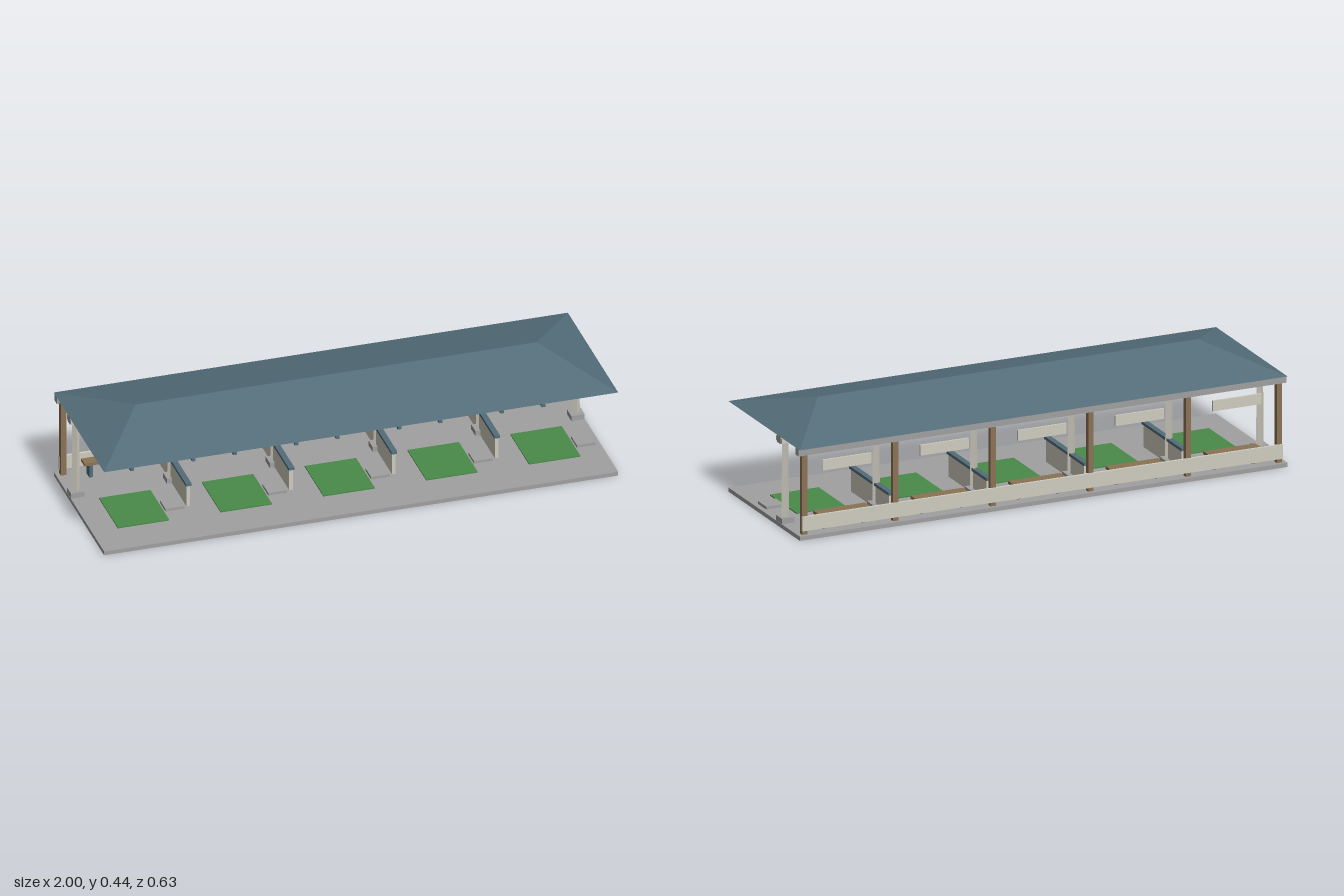
import * as THREE from 'three';

const mat = (color) => new THREE.MeshStandardMaterial({ color, flatShading: true });

export function createModel() {
  const group = new THREE.Group();
  const concrete = mat(0xa0a0a0), plaster = mat(0xcfccbf), wood = mat(0x8b7355);
  const slate = mat(0x546e7a), turf = mat(0x4a8a4a);

  const add = (name, geometry, material) => {
    const mesh = new THREE.Mesh(geometry, material);
    mesh.name = name;
    group.add(mesh);
    return mesh;
  };
  // Box given by its limits on each axis
  const box = (name, material, [x0, x1], [y0, y1], [z0, z1]) => {
    const g = new THREE.BoxGeometry(x1 - x0, y1 - y0, z1 - z0);
    add(name, g, material).position.set((x0 + x1) / 2, (y0 + y1) / 2, (z0 + z1) / 2);
  };
  const around = (c, w) => [c - w / 2, c + w / 2];

  const floor = 0.016, eave = 0.355, ridge = 0.437;
  const postZ = -0.127, backZ = -0.2875;

  box('floorSlab', concrete, [-1, 1], [0, floor], [-0.313, 0.313]);

  // Hip roof: a box whose top is pinched to a ridge line
  const roof = new THREE.BoxGeometry(2, ridge - eave, 0.626);
  const p = roof.attributes.position;
  for (let i = 0; i < p.count; i++) {
    if (p.getY(i) > 0) p.setXYZ(i, Math.sign(p.getX(i)) * 0.78, p.getY(i), 0);
  }
  roof.computeVertexNormals();
  add('roof', roof, slate).position.y = (ridge + eave) / 2;

  // Beams under the roof
  box('frontBeam', concrete, [-1, 1], [0.327, eave], around(postZ, 0.029));
  box('backBeam', concrete, [-1, 1], [0.327, eave], around(backZ, 0.028));

  // Rows of posts
  for (const x of [-0.973, -0.6, -0.2, 0.2, 0.6, 0.973]) {
    box('postFoot', concrete, around(x, 0.052), [floor, 0.037], around(postZ, 0.052));
    box('postCapital', plaster, around(x, 0.052), [0.331, 0.35], around(postZ, 0.052));
    const post = new THREE.CylinderGeometry(0.0135, 0.0152, 0.318, 4);
    add('frontPost', post, plaster).position.set(x, 0.19, postZ);
    box('backPost', wood, around(x, 0.021), [floor, 0.327], around(backZ, 0.021));
  }

  // Partitions between the bays
  for (const x of [-0.6, -0.2, 0.2, 0.6]) {
    box('partition', plaster, around(x, 0.014), [floor, 0.104], [-0.252, 0.08]);
    box('partitionCap', slate, around(x, 0.022), [0.104, 0.115], [-0.26, 0.087]);
  }

  box('backRail', plaster, [-0.985, 0.985], [0.032, 0.088], [-0.305, -0.294]);

  // Furniture of each bay
  for (const x of [-0.8, -0.4, 0, 0.4, 0.8]) {
    box('turfMat', turf, around(x, 0.2), [floor, 0.02], [-0.07, 0.163]);
    box('tray', concrete, [x + 0.107, x + 0.18], [floor, 0.027], [0.024, 0.095]);
    box('benchSeat', wood, around(x, 0.214), [0.069, 0.08], [-0.27, -0.228]);
    for (const s of [-1, 1]) {
      box('benchLeg', slate, around(x + s * 0.08, 0.014), [floor, 0.069], [-0.267, -0.232]);
    }
    box('bayPanel', plaster, around(x, 0.2), [0.257, 0.298], [-0.299, -0.291]);
  }
  return group;
}
